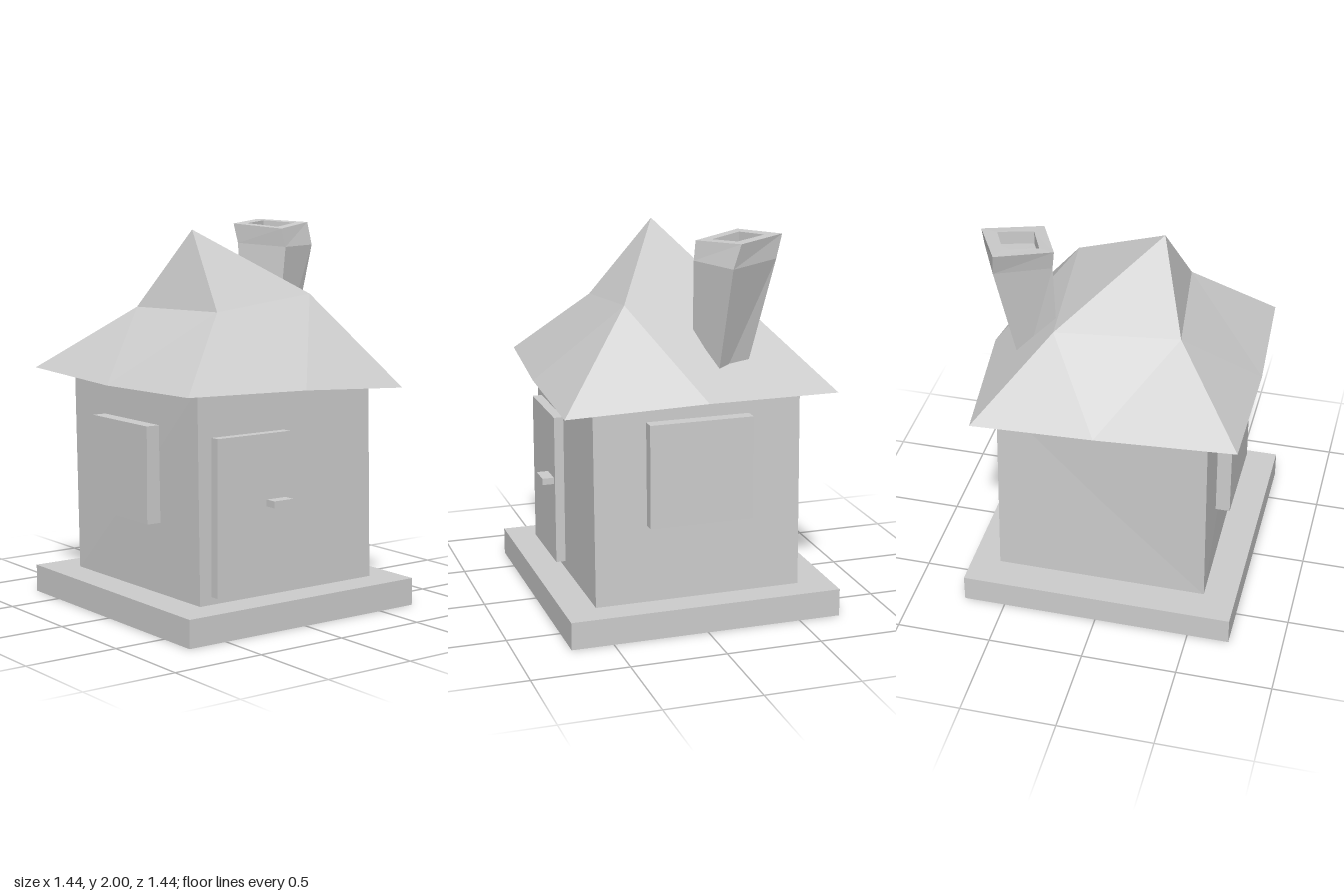
import * as THREE from 'three';

const grey = new THREE.MeshStandardMaterial({ color: 0xcccccc, flatShading: true });
grey.name = 'plain grey';

function addMesh(group, name, geometry) {
  const mesh = new THREE.Mesh(geometry, grey);
  mesh.name = name;
  group.add(mesh);
  return mesh;
}

// Box given by its lowest and highest corner
function addBox(group, name, [x0, y0, z0], [x1, y1, z1]) {
  const mesh = addMesh(group, name, new THREE.BoxGeometry(x1 - x0, y1 - y0, z1 - z0));
  mesh.position.set((x0 + x1) / 2, (y0 + y1) / 2, (z0 + z1) / 2);
}

// Flat-shaded geometry from a list of triangles of points
function fromTriangles(triangles) {
  const geometry = new THREE.BufferGeometry();
  geometry.setAttribute('position', new THREE.Float32BufferAttribute(triangles.flat(2), 3));
  geometry.computeVertexNormals();
  return geometry;
}

// Triangles around a centre point; the ring runs counterclockwise
const fan = (centre, ring) => ring.map((p, i) => [centre, p, ring[(i + 1) % ring.length]]);

// Stacked rings of corners joined by side faces
function loft(rings) {
  const triangles = [];
  for (let k = 0; k + 1 < rings.length; k++) {
    const low = rings[k], high = rings[k + 1], n = low.length;
    for (let i = 0; i < n; i++) {
      const j = (i + 1) % n;
      triangles.push([low[i], low[j], high[j]], [low[i], high[j], high[i]]);
    }
  }
  return triangles;
}

export function createModel() {
  const house = new THREE.Group();
  house.name = 'house';

  addBox(house, 'base', [-0.72, 0, -0.72], [0.72, 0.145, 0.72]);

  // Walls: slightly crooked corners, each side fanned from a middle point.
  // Corner order everywhere: front -x, front +x, back +x, back -x
  const foot = [[-0.535, 0.14, 0.55], [0.57, 0.14, 0.55], [0.57, 0.14, -0.545], [-0.55, 0.14, -0.545]];
  const head = [[-0.55, 1.23, 0.55], [0.545, 1.23, 0.55], [0.545, 1.23, -0.545], [-0.55, 1.23, -0.575]];
  const middles = [[0, 0.67, 0.55], [0.557, 0.67, 0], [0, 0.67, -0.545], [-0.55, 0.67, 0]];
  const walls = middles.flatMap((m, i) => {
    const j = (i + 1) % 4;
    return fan(m, [foot[i], foot[j], head[j], head[i]]);
  });
  addMesh(house, 'walls', fromTriangles(walls));

  // Roof: eave corners and eave midpoints, a bent waist, and an off-centre peak
  const corner = [[-0.675, 1.21, 0.65], [0.635, 1.165, 0.715], [0.635, 1.18, -0.72], [-0.72, 1.23, -0.697]];
  const mid = [[0, 1.2, 0.712], [0.715, 1.205, 0], [0, 1.2, -0.715], [-0.717, 1.205, 0]];
  const waist = [[-0.27, 1.575, 0.33], [0.335, 1.64, 0.32], [0.29, 1.56, -0.36], [-0.345, 1.565, -0.28]];
  const eave = corner.flatMap((c, i) => [c, mid[i]]);
  const roof = fan([-0.195, 1.975, 0.01], waist);
  for (let i = 0; i < 4; i++) {
    const j = (i + 1) % 4;
    roof.push([corner[i], mid[i], waist[i]], [mid[i], waist[j], waist[i]], [mid[i], corner[j], waist[j]]);
  }
  roof.push(...fan([0, 1.2, 0], [...eave].reverse()));
  addMesh(house, 'roof', fromTriangles(roof));

  // Chimney: leaning, flared upwards, with a recessed opening
  const opening = [[0.375, 1.985, -0.27], [0.45, 1.97, -0.1], [0.62, 1.985, -0.17], [0.54, 1.995, -0.34]];
  const chimney = [
    [[0.31, 1.2, -0.2], [0.375, 1.2, -0.025], [0.525, 1.2, -0.1], [0.49, 1.2, -0.245]],
    [[0.31, 1.88, -0.27], [0.435, 1.865, -0.01], [0.705, 1.865, -0.12], [0.58, 1.88, -0.39]],
    [[0.295, 1.985, -0.29], [0.418, 1.963, -0.025], [0.705, 1.987, -0.16], [0.565, 2, -0.425]],
    opening,
    opening.map(([x, y, z]) => [x, y - 0.07, z]),
  ];
  const floor = fan([0.497, 1.914, -0.22], chimney[4]);
  addMesh(house, 'chimney', fromTriangles([...loft(chimney), ...floor]));

  // Door and windows
  addBox(house, 'door', [-0.465, 0.185, 0.53], [-0.015, 0.985, 0.6]);
  addBox(house, 'doorHandle', [-0.16, 0.615, 0.59], [-0.04, 0.65, 0.662]);
  addBox(house, 'leftWindow', [0.53, 0.55, -0.27], [0.615, 1.09, 0.275]);
  addBox(house, 'rightWindow', [-0.625, 0.515, -0.28], [-0.53, 1.015, 0.22]);

  return house;
}
